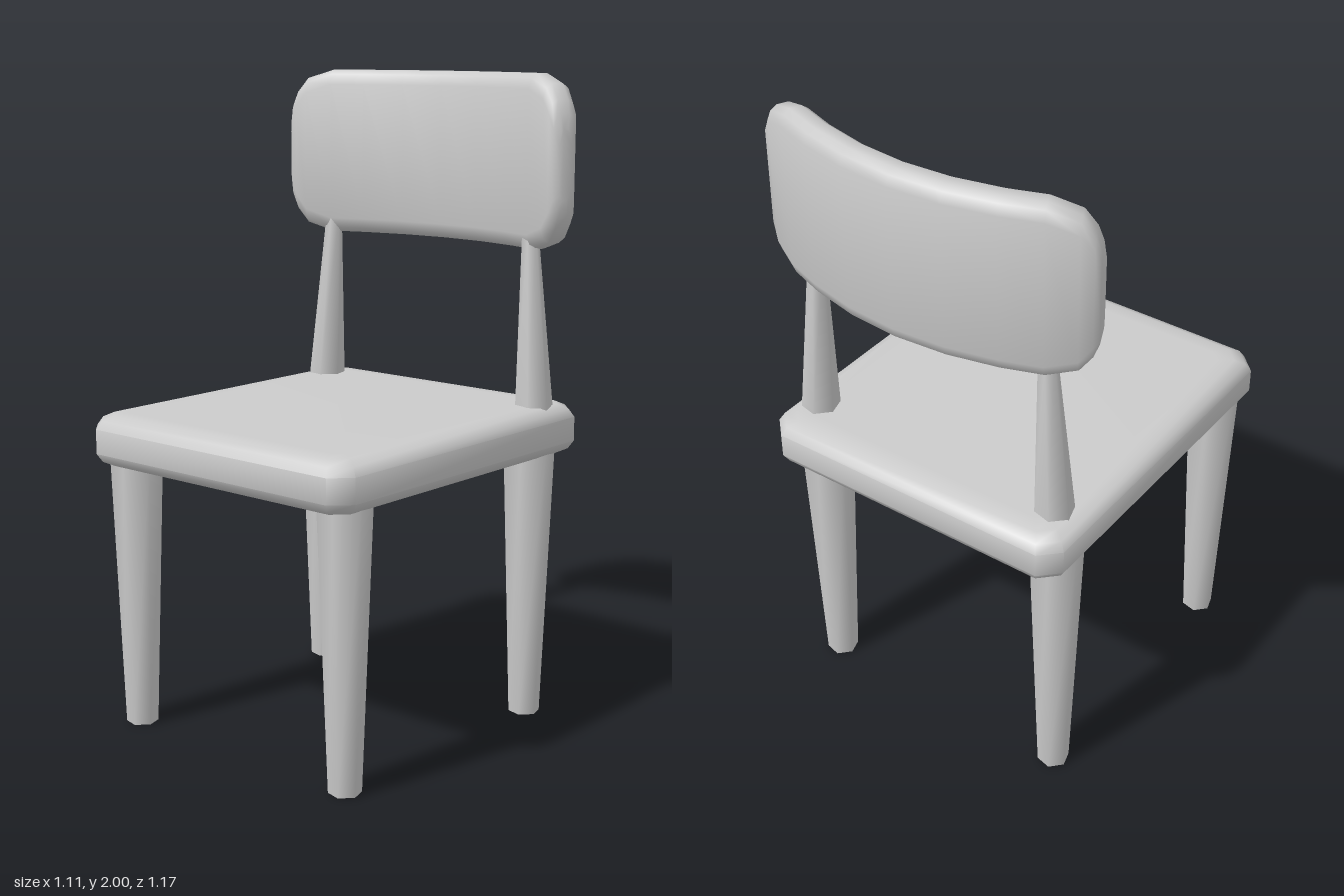
import * as THREE from 'three';
import { toCreasedNormals } from 'three/addons/utils/BufferGeometryUtils.js';

const material = new THREE.MeshStandardMaterial({ color: 0xcccccc, side: THREE.DoubleSide });

// Skin a list of equal-length rings, optionally closing either end
function loft(rings, capStart, capEnd) {
  const n = rings[0].length;
  const points = rings.flat();
  const index = [];
  for (let r = 0; r < rings.length - 1; r++) {
    for (let i = 0; i < n; i++) {
      const a = r * n + i, b = r * n + (i + 1) % n;
      index.push(a, b, b + n, a, b + n, a + n);
    }
  }
  const cap = (start, flip) => {
    for (let i = 1; i < n - 1; i++) {
      index.push(start, start + (flip ? i + 1 : i), start + (flip ? i : i + 1));
    }
  };
  if (capStart) cap(0, true);
  if (capEnd) cap((rings.length - 1) * n, false);
  const geometry = new THREE.BufferGeometry().setFromPoints(points);
  geometry.setIndex(index);
  geometry.computeVertexNormals();
  return toCreasedNormals(geometry, 0.9);
}

function addMesh(parent, name, geometry) {
  const mesh = new THREE.Mesh(geometry, material);
  mesh.name = name;
  parent.add(mesh);
  return mesh;
}

// Seat: chamfered rectangle with a rolled edge, hollow underneath
function seatGeometry() {
  const profile = [ // height, inset
    [0.84, 0.045], [0.855, 0.015], [0.88, 0], [0.955, 0],
    [0.98, 0.015], [0.995, 0.045], [0.997, 0.09],
  ];
  const rings = profile.map(([y, inset]) => {
    const x = 0.516 - inset, z = 0.575 - inset, c = 0.056 - inset * 0.3;
    return [
      [x, z - c], [x, c - z], [x - c, -z], [c - x, -z],
      [-x, c - z], [-x, z - c], [c - x, z], [x - c, z],
    ].map(([px, pz]) => new THREE.Vector3(px, y, pz));
  });
  return loft(rings, false, true);
}

// Backrest: rounded panel swept along a shallow parabola
function backrestGeometry() {
  const half = [ // x, half height, thickness factor
    [0.543, 0.105, 0.4], [0.536, 0.15, 0.75], [0.522, 0.19, 0.92],
    [0.49, 0.235, 1], [0.41, 0.2625, 1], [0.3, 0.2625, 1], [0.155, 0.2625, 1],
  ];
  const stations = [
    ...half.map(([x, h, t]) => [-x, h, t]), [0, 0.2625, 1], ...half.slice().reverse(),
  ];
  const rings = stations.map(([x, h, t]) => {
    const slope = x; // derivative of 0.5 x^2
    const len = Math.hypot(1, slope);
    const quarter = [[h, 0.018], [h - 0.014, 0.037], [h - 0.045, 0.048]];
    const front = [...quarter, ...quarter.slice().reverse().map(([y, d]) => [-y, d])];
    const section = [...front, ...front.slice().reverse().map(([y, d]) => [y, -d])];
    return section.map(([y, d]) => new THREE.Vector3(
      x - d * t * slope / len, 1.7375 + y, -0.528 + 0.5 * x * x + d * t / len));
  });
  return loft(rings, true, true);
}

// Tapered six-sided bar, sheared so that it leans from its foot to its top
function bar(foot, top, footRadius, topRadius) {
  const height = top[1] - foot[1];
  const geometry = new THREE.CylinderGeometry(topRadius, footRadius, height, 6);
  geometry.rotateY(Math.PI / 12);
  const p = geometry.attributes.position;
  for (let i = 0; i < p.count; i++) {
    const t = p.getY(i) / height + 0.5;
    p.setXYZ(i,
      p.getX(i) + foot[0] + (top[0] - foot[0]) * t,
      foot[1] + t * height,
      p.getZ(i) + foot[2] + (top[2] - foot[2]) * t);
  }
  geometry.computeVertexNormals();
  return toCreasedNormals(geometry, 1.15);
}

export function createModel() {
  const chair = new THREE.Group();
  chair.name = 'chair';

  // Seat and backrest sit at a slight turn
  const turn = -0.026;
  const seat = addMesh(chair, 'seat', seatGeometry());
  seat.position.set(-0.011, 0, -0.002);
  seat.rotation.y = turn;
  const backrest = addMesh(chair, 'backrest', backrestGeometry());
  backrest.rotation.y = turn;

  // Legs
  const legs = {
    frontRightLeg: [-0.46, 0.421], frontLeftLeg: [0.383, 0.443],
    backRightLeg: [-0.43, -0.437], backLeftLeg: [0.415, -0.415],
  };
  for (const [name, [x, z]] of Object.entries(legs)) {
    addMesh(chair, name, bar([x, 0, z], [x, 0.88, z], 0.049, 0.081));
  }

  // Posts that carry the backrest
  addMesh(chair, 'rightPost', bar([-0.42, 0.97, -0.435], [-0.388, 1.52, -0.435], 0.06, 0.026));
  addMesh(chair, 'leftPost', bar([0.43, 0.97, -0.415], [0.4, 1.52, -0.42], 0.06, 0.026));

  return chair;
}
